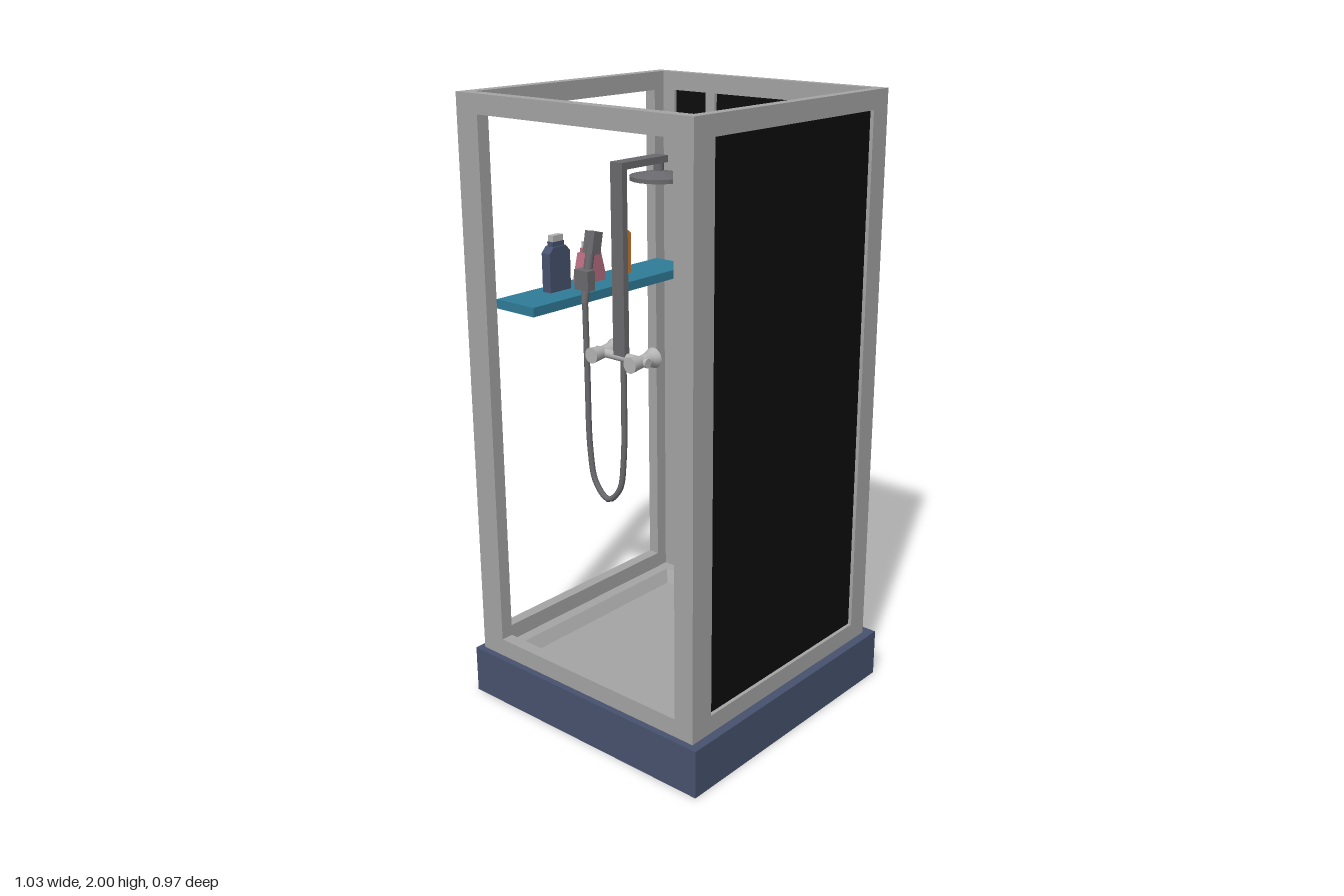
import * as THREE from 'three';

const mat = (name, color) => {
  const m = new THREE.MeshStandardMaterial({ color, side: THREE.DoubleSide });
  m.name = name;
  return m;
};

export function createModel() {
  const root = new THREE.Group();
  root.name = 'showerCabin';
  const frame = mat('frameGrey', 0xa4a4a4);
  const navy = mat('navy', 0x47526e);
  const black = mat('darkGlass', 0x0c0c0c);
  const metal = mat('darkMetal', 0x6a6a6e);
  const chrome = mat('chrome', 0xb4b4b4);
  const teal = mat('teal', 0x2f7c98);
  const orange = mat('orange', 0xc67a32);
  const pink = mat('pink', 0xb56c80);

  const add = (name, geo, material, parent = root) => {
    const m = new THREE.Mesh(geo, material);
    m.name = name;
    parent.add(m);
    return m;
  };
  // box from its min and max corners
  const box = (name, x0, x1, y0, y1, z0, z1, material, parent) =>
    add(name, new THREE.BoxGeometry(x1 - x0, y1 - y0, z1 - z0)
      .translate((x0 + x1) / 2, (y0 + y1) / 2, (z0 + z1) / 2), material, parent);
  const polygon = (pts) => new THREE.Shape(pts.map((p) => new THREE.Vector2(...p)));
  const rect = ([a, b, c, d]) => polygon([[a, c], [b, c], [b, d], [a, d]]);
  // rectangular plate [x0, x1, y0, y1] with rectangular holes, extruded along z
  const plate = (outer, holes, depth) => {
    const s = rect(outer);
    holes.forEach((h) => s.holes.push(rect(h)));
    return new THREE.ExtrudeGeometry(s, { depth, bevelEnabled: false, curveSegments: 1 });
  };
  // cylinder between two points
  const rod = (name, a, b, rA, rB, material, sides = 16, parent = root) => {
    const A = new THREE.Vector3(...a), B = new THREE.Vector3(...b), d = B.clone().sub(A);
    const m = add(name, new THREE.CylinderGeometry(rB, rA, d.length(), sides), material, parent);
    m.position.copy(A).add(B).multiplyScalar(0.5);
    m.quaternion.setFromUnitVectors(new THREE.Vector3(0, 1, 0), d.normalize());
    return m;
  };

  // hollow base; plate y becomes -z once laid flat
  add('base', plate([-0.519, 0.448, -0.48, 0.485], [[-0.44, 0.365, -0.40, 0.405]], 0.16)
    .rotateX(-Math.PI / 2), navy);

  // tray: curb, sloped sides and floor
  add('trayCurb', plate([-0.46, 0.39, -0.42, 0.43], [[-0.42, 0.345, -0.38, 0.385]], 0.07)
    .rotateX(-Math.PI / 2).translate(0, 0.095, 0), frame);
  add('traySlope', new THREE.CylinderGeometry(0.3825 * Math.SQRT2, 0.3575 * Math.SQRT2, 0.04, 4, 1, true)
    .rotateY(Math.PI / 4).toNonIndexed().translate(-0.0375, 0.145, -0.0025), frame)
    .geometry.computeVertexNormals();
  box('trayFloor', -0.395, 0.32, 0.115, 0.125, -0.36, 0.355, frame);

  // wall frames
  const Y0 = 0.22, Y1 = 1.94;
  const wide = [-0.497, 0.415, 0.16, 2], side = [-0.415, 0.425, 0.16, 2];
  add('frontFrame', plate(wide, [[-0.41, 0.34, Y0, Y1]], 0.035).translate(0, 0, 0.415), frame);
  add('backFrame', plate(wide, [[-0.41, 0.34, Y0, Y1]], 0.04).translate(0, 0, -0.465), frame);
  add('rightFrame', plate(side, [[-0.38, -0.225, Y0, Y1], [-0.18, 0.20, Y0, Y1], [0.24, 0.375, Y0, Y1]], 0.03)
    .rotateY(Math.PI / 2).translate(0.385, 0, 0), frame);
  add('leftFrame', plate(side, [[-0.38, 0.375, Y0, Y1]], 0.042)
    .rotateY(Math.PI / 2).translate(-0.497, 0, 0), frame);

  // dark glass
  box('frontGlass', -0.41, 0.34, Y0, Y1, 0.43, 0.438, black);
  [[0.225, 0.38], [-0.20, 0.18], [-0.375, -0.24]].forEach(([a, b]) =>
    box('sideGlass', 0.396, 0.404, Y0, Y1, a, b, black));

  // door handle
  add('doorHandle', new THREE.ExtrudeGeometry(polygon([
    [0.41, 1.135], [0.497, 1.128], [0.516, 1.11], [0.516, 0.957], [0.50, 0.943], [0.41, 0.92],
    [0.41, 0.938], [0.489, 0.96], [0.498, 0.968], [0.498, 1.102], [0.489, 1.111], [0.41, 1.118],
  ]), { depth: 0.034, bevelEnabled: false }).translate(0, 0, 0.182), metal);

  // shelf and bottles
  const top = 1.36;
  box('shelf', -0.41, 0.345, top - 0.03, top, -0.425, -0.26, teal);
  const bottle = (name, x, outline, neck, capW, height, material) => {
    const g = new THREE.Group();
    g.name = name;
    g.position.set(x, top, -0.365);
    const pts = [...outline, ...outline.map(([a, b]) => [-a, b]).reverse()];
    add('body', new THREE.ExtrudeGeometry(polygon(pts), { depth: 0.036, bevelEnabled: false })
      .translate(0, 0, -0.018), material, g);
    box('neck', -neck, neck, height, height + 0.015, -0.012, 0.012, material, g);
    box('cap', -capW, capW, height + 0.015, height + 0.035, -0.011, 0.011, chrome, g);
    root.add(g);
    return g;
  };
  bottle('navyBottle', -0.205, [[0.045, 0], [0.045, 0.125], [0.027, 0.145]], 0.025, 0.022, 0.145, navy);
  bottle('pinkBottle', -0.055, [[0.056, 0], [0.056, 0.025], [0.036, 0.10]], 0.03, 0.024, 0.10, pink);
  bottle('orangeBottle', 0.101, [[0.026, 0], [0.026, 0.135], [0.016, 0.145]], 0.013, 0.011, 0.145, orange);

  // shower column, arm and rain head
  box('showerColumn', -0.418, -0.398, 1.27, 1.84, 0.08, 0.125, metal);
  box('showerArm', -0.418, -0.225, 1.82, 1.84, 0.08, 0.125, metal);
  rod('rainHeadStem', [-0.24, 1.79, 0.103], [-0.24, 1.825, 0.103], 0.015, 0.015, metal);
  rod('rainHeadCone', [-0.24, 1.782, 0.103], [-0.24, 1.797, 0.103], 0.085, 0.012, metal, 20);
  rod('rainHead', [-0.24, 1.77, 0.103], [-0.24, 1.782, 0.103], 0.085, 0.085, metal, 20);

  // mixer with two flared taps
  const my = 1.275;
  rod('mixerBar', [-0.405, my, 0], [-0.405, my, 0.205], 0.014, 0.014, chrome);
  for (const z of [0.026, 0.178]) {
    rod('tapMount', [-0.455, my, z], [-0.405, my, z], 0.024, 0.018, chrome);
    rod('tapBody', [-0.405, my, z], [-0.375, my, z], 0.018, 0.022, chrome);
    rod('tapKnob', [-0.375, my, z], [-0.352, my, z], 0.022, 0.031, chrome);
  }

  // hand shower with bracket and hose
  box('handShowerBracket', -0.415, -0.385, 1.45, 1.51, -0.075, -0.02, metal);
  rod('handShowerHandle', [-0.402, 1.41, -0.048], [-0.37, 1.58, -0.048], 0.011, 0.014, metal);
  const head = add('handShowerHead', new THREE.BoxGeometry(0.036, 0.065, 0.038), metal);
  head.position.set(-0.362, 1.585, -0.048);
  head.rotation.z = -0.2;
  const hose = new THREE.CatmullRomCurve3([
    [1.42, -0.048], [1.2, -0.045], [0.95, -0.04], [0.85, -0.02], [0.805, 0.03],
    [0.85, 0.08], [0.95, 0.098], [1.1, 0.103], [1.27, 0.103],
  ].map(([y, z]) => new THREE.Vector3(-0.4, y, z)));
  add('hose', new THREE.TubeGeometry(hose, 60, 0.009, 8), metal);

  return root;
}
